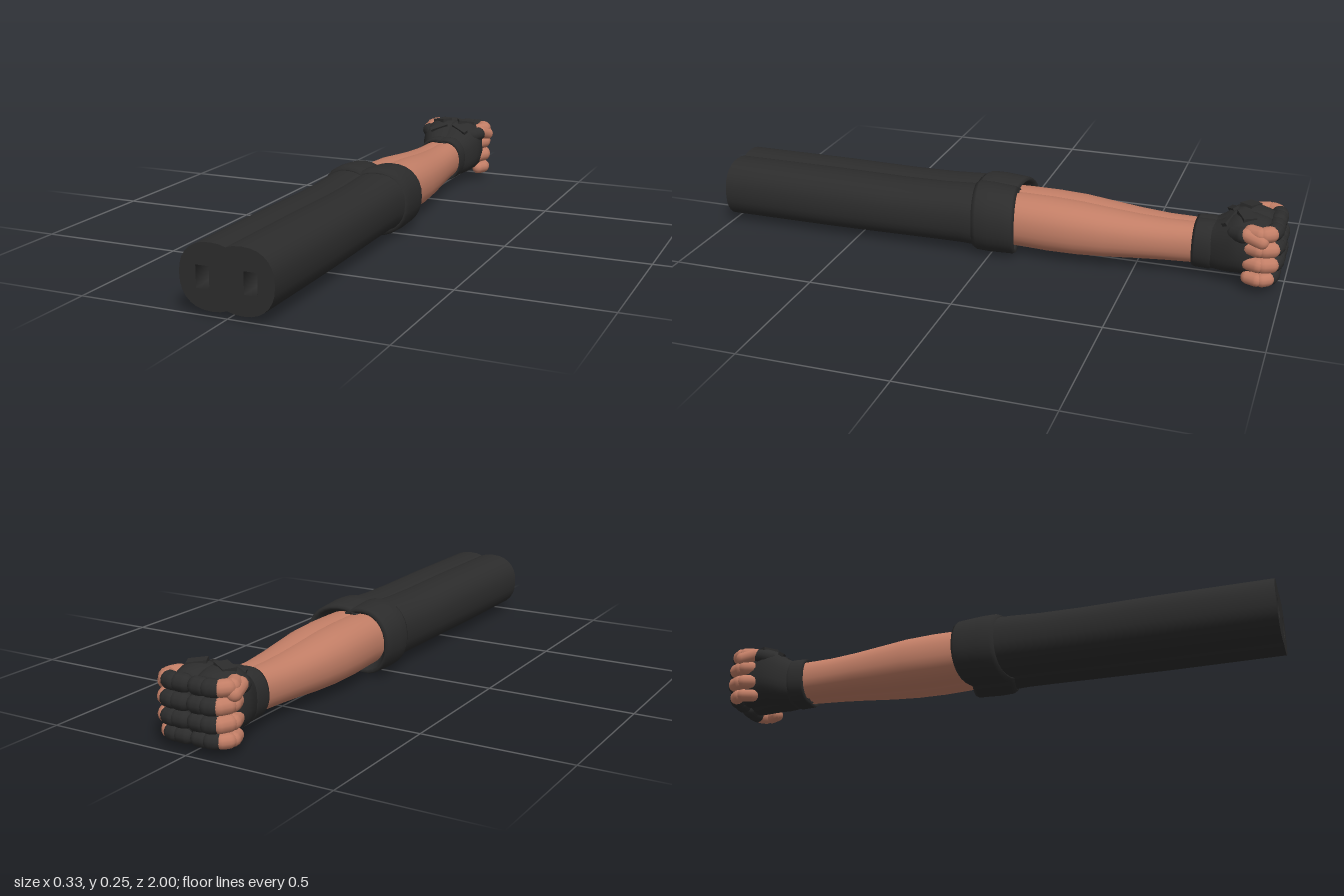
import * as THREE from 'three';

const black = new THREE.MeshStandardMaterial({ color: 0x2c2c2c, side: THREE.DoubleSide });
black.name = 'black cloth';
const skin = new THREE.MeshStandardMaterial({ color: 0xc27e66 });
skin.name = 'skin';

// One oval cross-section: [z, centre x, centre y, half width, half height]
function ring([z, cx, cy, rx, ry], side, n, segs, phase = 0) {
  const pts = [];
  for (let j = 0; j < segs; j++) {
    const a = phase + (j / segs) * Math.PI * 2, c = Math.cos(a), s = Math.sin(a);
    pts.push(new THREE.Vector3(
      cx * side + rx * Math.sign(c) * Math.abs(c) ** (2 / n),
      cy + ry * Math.sign(s) * Math.abs(s) ** (2 / n), z));
  }
  return pts;
}

// Skin a row of cross-sections, ordered from front to back
function loft(rows, side, { n = 2.2, segs = 28, phase = 0, skew = 0 } = {}) {
  const pos = [], idx = [];
  rows.forEach((row, i) => {
    for (const p of ring(row, side, n, segs, phase)) pos.push(p.x, p.y, p.z - skew * Math.abs(p.x));
    if (i === 0) return;
    for (let j = 0; j < segs; j++) {
      const a = (i - 1) * segs + j, b = (i - 1) * segs + (j + 1) % segs;
      idx.push(a, a + segs, b, b, a + segs, b + segs);
    }
  });
  const g = new THREE.BufferGeometry();
  g.setAttribute('position', new THREE.Float32BufferAttribute(pos, 3));
  g.setIndex(idx);
  g.computeVertexNormals();
  return g;
}

function add(parent, name, geo, mat) {
  const m = new THREE.Mesh(geo, mat);
  m.name = name;
  parent.add(m);
  return m;
}

// Rounded finger segment between two points
function segment(parent, name, a, b, r, mat) {
  const p = new THREE.Vector3(...a), q = new THREE.Vector3(...b), d = q.clone().sub(p);
  const m = add(parent, name, new THREE.CapsuleGeometry(r, d.length(), 5, 12), mat);
  m.position.copy(p).add(q).multiplyScalar(0.5);
  m.quaternion.setFromUnitVectors(new THREE.Vector3(0, 1, 0), d.normalize());
  return m;
}

function createArm(s) {
  const arm = new THREE.Group();
  arm.name = s > 0 ? 'leftArm' : 'rightArm';

  // Sleeve with a flat end and a square socket
  const sleeve = [
    [1, 0.05, 0.123, 0.105, 0.103], [0.6, 0.05, 0.123, 0.105, 0.103],
    [0.35, 0.05, 0.123, 0.103, 0.1], [0.2, 0.05, 0.125, 0.102, 0.1],
    [0.1, 0.05, 0.128, 0.104, 0.102], [0.02, 0.05, 0.126, 0.107, 0.105]];
  add(arm, 'sleeve', loft(sleeve, s, { n: 2.3 }), black);
  const end = new THREE.Shape(ring(sleeve[0], s, 2.3, 28).map(p => new THREE.Vector2(p.x, p.y)));
  const x0 = 0.056 * s, x1 = 0.1 * s;
  end.holes.push(new THREE.Path([[x0, 0.085], [x1, 0.085], [x1, 0.155], [x0, 0.155]]
    .map(p => new THREE.Vector2(...p))));
  add(arm, 'sleeveEnd', new THREE.ShapeGeometry(end), black).position.z = 1;
  add(arm, 'sleeveSocket', loft([
    [1, 0.078, 0.12, 0.0311, 0.0495], [0.93, 0.078, 0.12, 0.026, 0.043],
    [0.93, 0.078, 0.12, 0.001, 0.001]], s, { n: 2, segs: 4, phase: Math.PI / 4 }), black);

  // Rolled cuff with an inner lip
  add(arm, 'cuff', loft([
    [0.075, 0.05, 0.126, 0.1, 0.1], [0.08, 0.05, 0.126, 0.108, 0.11],
    [0.065, 0.05, 0.126, 0.114, 0.119], [0.02, 0.05, 0.125, 0.115, 0.12],
    [-0.03, 0.05, 0.124, 0.113, 0.117], [-0.064, 0.05, 0.123, 0.112, 0.115],
    [-0.075, 0.05, 0.123, 0.106, 0.109], [-0.066, 0.048, 0.122, 0.097, 0.1],
    [-0.02, 0.04, 0.122, 0.08, 0.08]], s, { n: 2.2, skew: 0.17 }), black);

  // Forearm tapering to the wrist
  add(arm, 'forearm', loft([
    [0, 0.032, 0.122, 0.088, 0.09], [-0.1, 0.032, 0.122, 0.09, 0.092],
    [-0.2, 0.033, 0.12, 0.093, 0.093], [-0.3, 0.033, 0.118, 0.092, 0.09],
    [-0.4, 0.03, 0.115, 0.085, 0.083], [-0.5, 0.026, 0.114, 0.077, 0.075],
    [-0.6, 0.022, 0.114, 0.069, 0.07], [-0.7, 0.019, 0.116, 0.063, 0.069],
    [-0.78, 0.018, 0.116, 0.06, 0.066]], s), skin);

  // Glove: wrist strap and hand
  add(arm, 'wristStrap', loft([
    [-0.705, 0.018, 0.116, 0.062, 0.07], [-0.695, 0.018, 0.116, 0.068, 0.079],
    [-0.705, 0.018, 0.116, 0.071, 0.083], [-0.75, 0.018, 0.116, 0.071, 0.085],
    [-0.764, 0.018, 0.116, 0.068, 0.082], [-0.768, 0.018, 0.116, 0.06, 0.07]], s), black);
  add(arm, 'gloveHand', loft([
    [-0.755, 0.019, 0.117, 0.065, 0.078], [-0.785, 0.026, 0.124, 0.074, 0.085],
    [-0.82, 0.033, 0.139, 0.083, 0.098], [-0.85, 0.036, 0.146, 0.087, 0.102],
    [-0.89, 0.038, 0.145, 0.08, 0.103], [-0.93, 0.038, 0.138, 0.066, 0.101],
    [-0.965, 0.038, 0.133, 0.055, 0.09], [-0.975, 0.038, 0.133, 0.001, 0.001]],
  s, { n: 2.5 }), black);

  // Raised pads across the back of the hand
  const pads = [[0.05, 0.243, -0.865, 0.062, 0.045, 0.5], [0.045, 0.224, -0.81, 0.07, 0.02, -0.5]];
  for (const [x, y, z, w, d, turn] of pads) {
    const pad = add(arm, 'handPad', new THREE.BoxGeometry(w, 0.018, d), black);
    pad.position.set(x * s, y, z);
    pad.rotation.set(z < -0.85 ? 0 : 0.5, turn * s, -0.12 * s);
  }

  // Four curled fingers: gloved knuckles, bare outer joints
  [0.211, 0.158, 0.104, 0.051].forEach((y, i) => {
    const r = i === 3 ? 0.026 : 0.029, z = i === 0 || i === 3 ? -0.962 : -0.97;
    segment(arm, 'glovedFinger', [0.022 * s, y, z], [0.04 * s, y, z], r, black);
    segment(arm, 'glovedFinger', [0.065 * s, y, z], [0.078 * s, y, z + 0.003], r, black);
    segment(arm, 'fingerJoint', [0.097 * s, y, z + 0.012], [0.108 * s, y, -0.935], r - 0.002, skin);
    segment(arm, 'fingerTip', [0.112 * s, y, -0.917], [0.1 * s, y, -0.888], r - 0.003, skin);
  });

  // Thumb folded over the upper fingers
  segment(arm, 'thumbGlove', [0.085 * s, 0.195, -0.835], [0.106 * s, 0.2, -0.862], 0.028, black);
  segment(arm, 'thumb', [0.112 * s, 0.205, -0.876], [0.124 * s, 0.192, -0.925], 0.024, skin);
  return arm;
}

export function createModel() {
  const model = new THREE.Group();
  model.name = 'pairedArms';
  for (const s of [1, -1]) model.add(createArm(s));
  return model;
}
